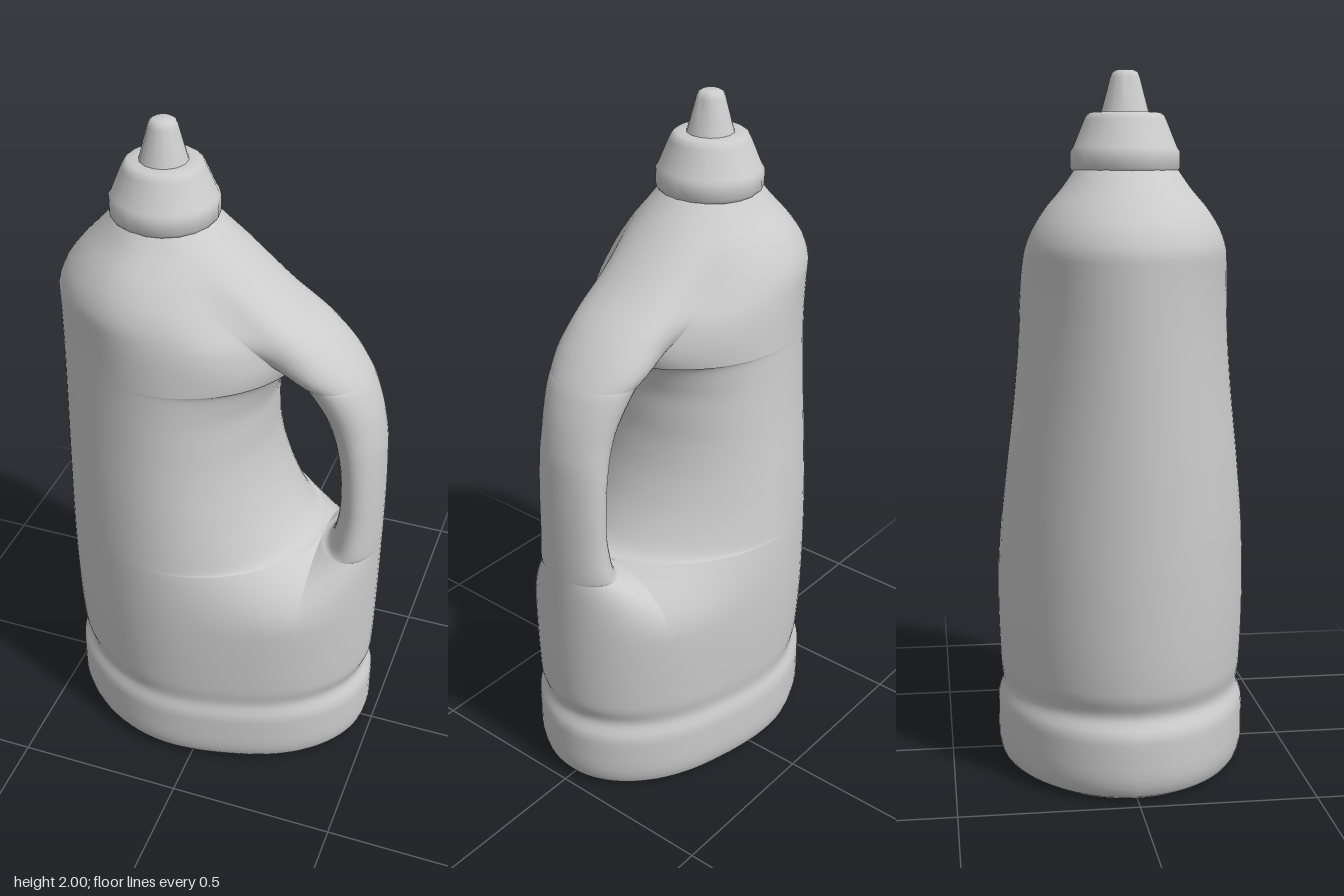
import * as THREE from 'three';
import { mergeVertices, toCreasedNormals } from 'three/addons/utils/BufferGeometryUtils.js';

const material = new THREE.MeshStandardMaterial({ color: 0xcccccc });
const { lerp, smoothstep } = THREE.MathUtils;

// Smooth, overshoot-free curve through [key, value] points
function curve(pts) {
  const n = pts.length - 1;
  const d = pts.slice(1).map((p, i) => (p[1] - pts[i][1]) / (p[0] - pts[i][0]));
  const m = pts.map((_, i) => {
    if (i === 0) return d[0];
    if (i === n) return d[n - 1];
    return d[i - 1] * d[i] <= 0 ? 0 : (2 * d[i - 1] * d[i]) / (d[i - 1] + d[i]);
  });
  return (k) => {
    let i = 0;
    while (i < n - 1 && k > pts[i + 1][0]) i++;
    const h = pts[i + 1][0] - pts[i][0];
    const t = Math.min(1, Math.max(0, (k - pts[i][0]) / h));
    const s = t * t * (3 - 2 * t);
    return lerp(pts[i][1], pts[i + 1][1], s)
      + h * t * (1 - t) * ((1 - t) * m[i] - t * m[i + 1]);
  };
}

// Bottle outline by height: right edge, left edge and half depth
const edgeA = curve([[0, -0.44], [0.02, -0.47], [0.08, -0.485], [0.18, -0.485], [0.24, -0.457],
  [0.3, -0.475], [0.45, -0.485], [0.7, -0.49], [1.5, -0.488], [1.56, -0.468], [1.62, -0.425],
  [1.68, -0.37], [1.73, -0.325]]);
const edgeB = curve([[0, 0.44], [0.02, 0.468], [0.08, 0.48], [0.18, 0.48], [0.24, 0.458], [0.3, 0.474],
  [0.5, 0.48], [0.9, 0.485], [1.1, 0.48], [1.2, 0.465], [1.3, 0.432], [1.38, 0.38], [1.45, 0.31],
  [1.52, 0.21], [1.58, 0.135], [1.65, 0.055], [1.73, -0.035]]);
const depth = curve([[0, 0.32], [0.02, 0.35], [0.08, 0.363], [0.18, 0.363], [0.24, 0.349], [0.3, 0.355],
  [0.5, 0.361], [0.7, 0.358], [0.9, 0.345], [1.1, 0.325], [1.3, 0.305], [1.5, 0.285], [1.55, 0.27],
  [1.62, 0.23], [1.68, 0.18], [1.73, 0.145]]);

// Grip hole: inner and outer edge, keyed 0 (lowest point) to 1 (highest point)
const HOLE_LOW = 0.74, HOLE_TOP = 1.325;
const holeIn = curve([[0, 0.31], [0.118, 0.27], [0.207, 0.24], [0.35, 0.19], [0.465, 0.16],
  [0.574, 0.147], [0.694, 0.147], [0.802, 0.163], [0.898, 0.183], [1, 0.21]]);
const holeOut = curve([[0, 0.31], [0.102, 0.335], [0.207, 0.35], [0.35, 0.36], [0.465, 0.356],
  [0.574, 0.34], [0.694, 0.305], [0.783, 0.27], [0.898, 0.233], [1, 0.21]]);
const fraction = (x, y) => (x - edgeA(y)) / (edgeB(y) - edgeA(y));
const fracLow = fraction(0.31, HOLE_LOW), fracTop = fraction(0.21, HOLE_TOP);

// Half depth of the plain bottle, narrowing to a ridge over the handle
function fullDepth(x, y) {
  const u = Math.min(1, Math.max(0, fraction(x, y)));
  const ridge = smoothstep(y, 1.28, 1.42) * (1 - smoothstep(y, 1.5, 1.7));
  const shape = 1.03 - 0.08 * smoothstep(u, 0.3, 0.7) - 0.2 * ridge * Math.exp(-(((u - 0.83) / 0.13) ** 2));
  return depth(y) * 2 * Math.sqrt(u * (1 - u)) * shape;
}

// Row heights, packed tightly around the foot, the groove and the hole ends
function rowHeights() {
  const rows = [0, 0.006, 0.014, 0.025, 0.045, 0.07, 0.1, 0.14, 0.17, 0.19, 0.205, 0.22, 0.23, 0.24,
    0.25, 0.26, 0.275, 0.29, 0.31, 0.35, 0.4, 0.45, 0.5].map((y) => ({ y }));
  for (let i = 12; i > 0; i--) rows.push({ y: HOLE_LOW - 0.2 * (i / 12) ** 2 });
  for (let i = 0; i <= 36; i++) {
    const y = lerp(HOLE_LOW, HOLE_TOP, (1 - Math.cos((Math.PI * i) / 36)) / 2);
    rows.push({ y, key: i / 36 });
  }
  for (let i = 1; i <= 26; i++) rows.push({ y: HOLE_TOP + (1.73 - HOLE_TOP) * (i / 26) ** 1.6 });
  return rows;
}

// Points of one row: body columns up to the hole, then handle columns
function rowPoints({ y, key }) {
  const a = edgeA(y), b = edgeB(y), inHole = key !== undefined;
  const split = lerp(a, b, y < 1 ? fracLow : fracTop);
  const inner = inHole ? holeIn(key) : split, outer = inHole ? holeOut(key) : split;
  const gap = y < 1 ? (HOLE_LOW - y) / 0.2 : (y - HOLE_TOP) / 0.24;
  const pinch = inHole ? 1 : Math.max(0, 1 - gap) ** 2;
  const grip = 0.113 + 0.03 * smoothstep(y, 1.15, 1.4) + 0.02 * (1 - smoothstep(y, 0.65, 0.9));
  const strip = (from, to, count, handle) => Array.from({ length: count + 1 }, (_, j) => {
    const t = (1 - Math.cos((Math.PI * j) / count)) / 2;
    const x = lerp(from, to, t), full = fullDepth(x, y);
    const open = handle ? grip * 2 * Math.sqrt(t * (1 - t)) : full * Math.sqrt(1 - t ** 5);
    return [x, y, Math.sqrt(lerp(full * full, open * open, pinch))];
  });
  return [strip(a, inner, 36, false), strip(outer, b, 16, true)];
}

function meshFrom(name, positions, smooth) {
  let geometry = new THREE.BufferGeometry();
  geometry.setAttribute('position', new THREE.Float32BufferAttribute(positions, 3));
  if (smooth) geometry = mergeVertices(geometry, 1e-5);
  geometry.computeVertexNormals();
  const mesh = new THREE.Mesh(geometry, material);
  mesh.name = name;
  return mesh;
}

function lathe(name, profile, sides) {
  const points = profile.map(([r, y]) => new THREE.Vector2(r, y));
  const geometry = toCreasedNormals(new THREE.LatheGeometry(points, sides), 0.75);
  const mesh = new THREE.Mesh(geometry, material);
  mesh.name = name;
  mesh.position.x = -0.18;
  return mesh;
}

export function createModel() {
  const model = new THREE.Group();
  model.name = 'handledBottle';
  const back = ([x, y, z]) => [x, y, -z];

  // Bottle body and handle, front half mirrored to the back
  const rows = rowHeights().map(rowPoints);
  const shell = [], base = [];
  for (let i = 0; i < rows.length - 1; i++) {
    for (const part of [0, 1]) {
      const low = rows[i][part], high = rows[i + 1][part];
      for (let j = 0; j < low.length - 1; j++) {
        const p = low[j], q = low[j + 1], r = high[j + 1], s = high[j];
        shell.push(...p, ...q, ...r, ...p, ...r, ...s);
        shell.push(...[p, r, q, p, s, r].flatMap(back));
      }
    }
  }
  model.add(meshFrom('bottleAndHandle', shell, true));

  // Flat underside
  for (const strip of rows[0]) {
    for (let j = 0; j < strip.length - 1; j++) {
      const p = strip[j], q = strip[j + 1];
      base.push(...p, ...back(p), ...back(q), ...p, ...back(q), ...q);
    }
  }
  model.add(meshFrom('base', base, false));

  // Screw cap and pouring nozzle
  model.add(lathe('cap', [[0, 1.725], [0.146, 1.725], [0.153, 1.735], [0.153, 1.78], [0.146, 1.79],
    [0.115, 1.865], [0.108, 1.878], [0.098, 1.885], [0.07, 1.885], [0, 1.885]], 20));
  model.add(lathe('nozzle', [[0.07, 1.88], [0.066, 1.89], [0.042, 1.98], [0.036, 1.994], [0.026, 2], [0, 2]], 14));
  return model;
}
